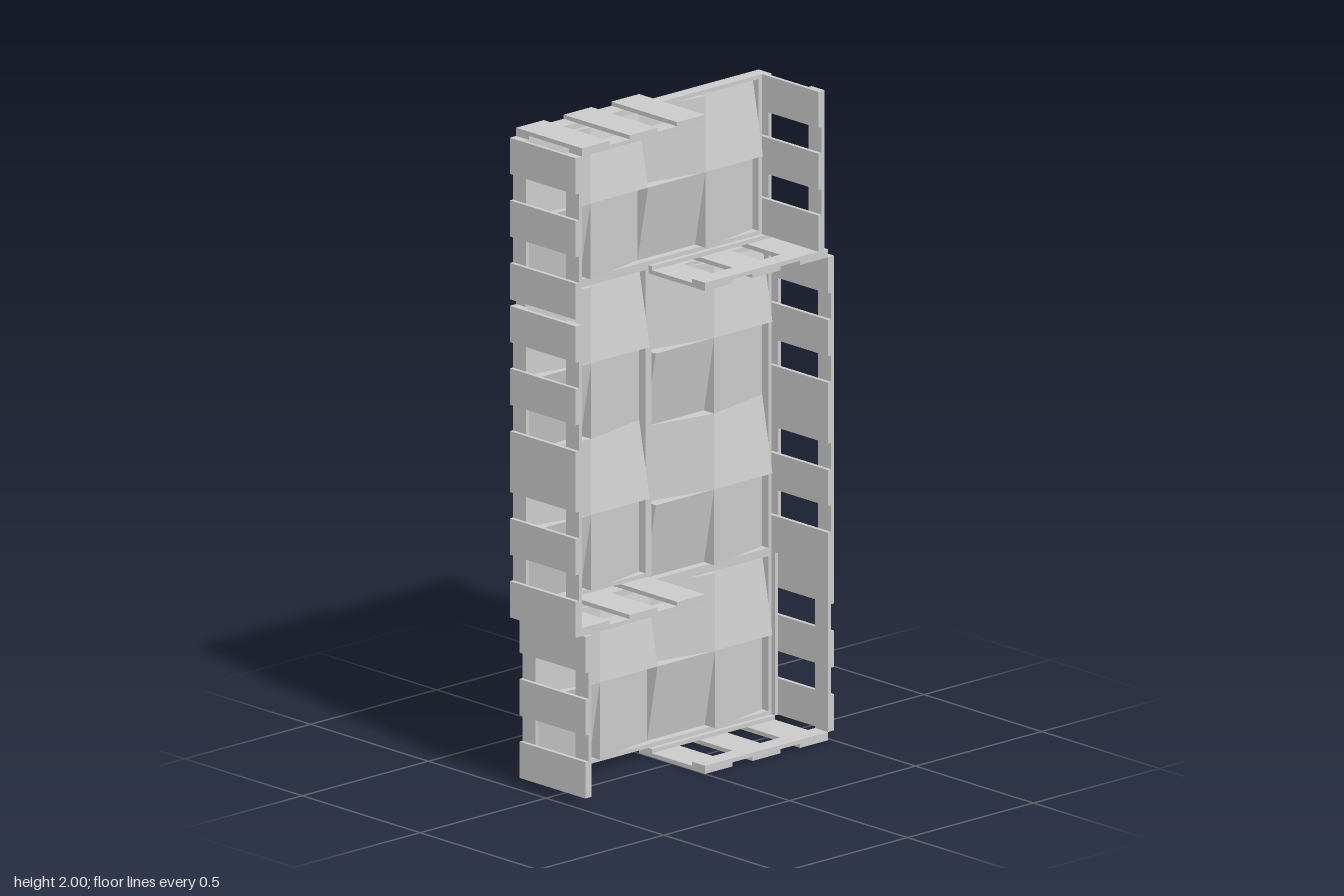
import * as THREE from 'three';

const T = 0.0125;            // board thickness
const Z = 0.14;              // half depth
const RAIL = 0.055;          // rail width
const HIGH = -0.082, FLOOR = -0.126, RIM = -0.1;
const SHORT = [0.11, 0.11, 0.11];
const LONG = [0.11, 0.11, 0.185, 0.11, 0.11];

const material = new THREE.MeshStandardMaterial({ color: 0xcccccc, flatShading: true });

// Box given by its two corners
function box(name, x0, x1, y0, y1, z0, z1) {
  const geo = new THREE.BoxGeometry(x1 - x0, y1 - y0, z1 - z0);
  geo.translate((x0 + x1) / 2, (y0 + y1) / 2, (z0 + z1) / 2);
  const mesh = new THREE.Mesh(geo, material);
  mesh.name = name;
  return mesh;
}

// Block whose front face slopes up towards one edge
function tile(x0, x1, y0, y1, highEdge) {
  const mesh = box('slopedTile', x0, x1, y0, y1, FLOOR - 0.004, FLOOR);
  const p = mesh.geometry.attributes.position;
  for (let i = 0; i < p.count; i++) {
    if (p.getZ(i) < FLOOR - 0.002) continue;
    const u = (p.getX(i) - x0) / (x1 - x0);
    const v = (p.getY(i) - y0) / (y1 - y0);
    const k = { right: u, left: 1 - u, top: v, bottom: 1 - v }[highEdge];
    p.setZ(i, FLOOR + (HIGH - FLOOR) * k);
  }
  mesh.geometry.computeVertexNormals();
  return mesh;
}

// Back board with a raised rim and a pinwheel grid of sloped tiles
function tray(name, x0, x1, y0, y1, cols, rows) {
  const g = new THREE.Group();
  g.name = name;
  g.add(
    box('backBoard', x0, x1, y0, y1, -Z, FLOOR),
    box('rimLeft', x0, x0 + T, y0, y1, FLOOR, RIM),
    box('rimRight', x1 - T, x1, y0, y1, FLOOR, RIM),
    box('rimBottom', x0 + T, x1 - T, y0, y0 + T, FLOOR, RIM),
    box('rimTop', x0 + T, x1 - T, y1 - T, y1, FLOOR, RIM),
  );
  const w = (x1 - x0 - 2 * T) / cols, h = (y1 - y0 - 2 * T) / rows;
  const edges = [['top', 'left'], ['right', 'bottom']];   // [row from below][column]
  for (let r = 0; r < rows; r++) {
    for (let c = 0; c < cols; c++) {
      const x = x0 + T + c * w, y = y0 + T + r * h;
      g.add(tile(x, x + w, y, y + h, edges[r % 2][c % 2]));
    }
  }
  return g;
}

// Two rails with slats across them; from..to runs along x or y, and
// slatAt / railAt are the lower bounds of the two layers on the other axis
function ladder(name, axis, from, to, slatAt, railAt, pattern) {
  const g = new THREE.Group();
  g.name = name;
  const part = (n, a, b, at, z0, z1) => g.add(axis === 'x'
    ? box(n, a, b, at, at + T, z0, z1)
    : box(n, at, at + T, a, b, z0, z1));
  part('frontRail', from, to, railAt, Z - RAIL, Z);
  part('backRail', from, to, railAt, -Z, RAIL - Z);
  const total = pattern.reduce((s, n) => s + n, 0);
  const gap = (to - from - total) / (pattern.length - 1);
  let a = from;
  for (const len of pattern) {
    part('slat', a, a + len, slatAt, -Z, Z);
    a += len + gap;
  }
  return g;
}

export function createModel() {
  const model = new THREE.Group();
  model.name = 'wallShelf';
  const W = 0.488, N = 0.45;   // wide and narrow half widths

  // Back trays
  model.add(
    tray('upperTray', -W, N, 1.49, 1.975, 4, 2),
    tray('middleRightTray', -W, 0, 0.545, 1.49, 2, 4),
    tray('middleLeftTray', 0, W, 0.52, 1.465, 2, 4),
    tray('lowerTray', -N, W, 0.025, 0.52, 4, 2),
  );

  // Slatted shelves
  model.add(
    ladder('topShelf', 'x', -W, 0, 2 - T, 2 - 2 * T, SHORT),
    ladder('upperShelf', 'x', 0, W, 1.465, 1.465 + T, SHORT),
    ladder('lowerShelf', 'x', -W, 0, 0.52 + T, 0.52, SHORT),
    ladder('bottomShelf', 'x', 0, W, 0, T, SHORT),
  );

  // Slatted sides
  model.add(
    ladder('upperRightSide', 'y', 1.485, 1.975, -W - 2 * T, -W - T, SHORT),
    ladder('middleRightSide', 'y', 0.52, 1.465, -W - 2 * T, -W - T, LONG),
    ladder('lowerRightSide', 'y', 0.025, 0.515, -N - 2 * T, -N - T, SHORT),
    ladder('upperLeftSide', 'y', 1.49, 1.975, N, N + T, SHORT),
    ladder('middleLeftSide', 'y', 0.52, 1.465, W, W + T, LONG),
    ladder('lowerLeftSide', 'y', 0.025, 0.52, W + T, W, SHORT),
  );
  return model;
}
